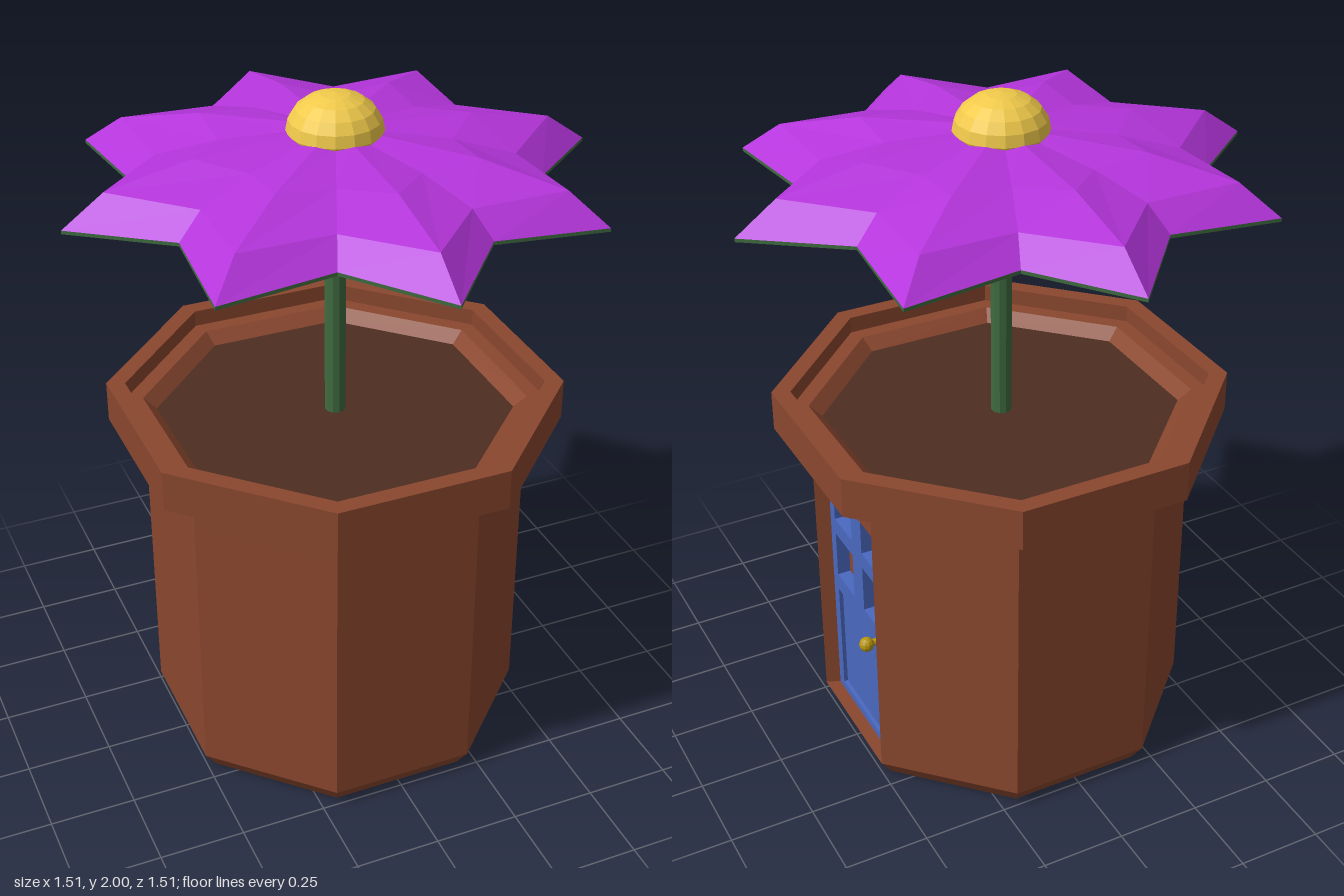
import * as THREE from 'three';

const HALF = Math.PI / 8; // half the angle of one octagon side

const paint = (color) => new THREE.MeshStandardMaterial({ color, flatShading: true });
const clay = paint(0x8a472e);
const earth = paint(0x4d2d21);
const blue = paint(0x4a68c0);
const purple = paint(0xb535dc);
const green = paint(0x3f6b40);
const yellow = paint(0xf0c94a);
const brass = paint(0xb8960f);

// Skins a list of closed rings; skip(ring, side) leaves a quad out.
function skin(rings, skip = () => false) {
  const pos = [];
  for (let r = 0; r < rings.length - 1; r++) {
    const lo = rings[r], hi = rings[r + 1], n = lo.length;
    for (let i = 0; i < n; i++) {
      if (skip(r, i)) continue;
      const j = (i + 1) % n;
      for (const p of [lo[i], lo[j], hi[j], lo[i], hi[j], hi[i]]) pos.push(p.x, p.y, p.z);
    }
  }
  const geo = new THREE.BufferGeometry();
  geo.setAttribute('position', new THREE.Float32BufferAttribute(pos, 3));
  geo.computeVertexNormals();
  return geo;
}

const polar = (radius, angle, y) =>
  new THREE.Vector3(radius * Math.cos(angle), y, -radius * Math.sin(angle));

// Octagon corner from the distance of its flat sides; side 0 faces +x
const corner = (flat, i, y) => polar(flat / Math.cos(HALF), (2 * i - 1) * HALF, y);
const octagon = ([flat, y]) => Array.from({ length: 8 }, (_, i) => corner(flat, i, y));

function rect(ShapeType, x0, y0, x1, y1) {
  return new ShapeType().moveTo(x0, y0).lineTo(x1, y0).lineTo(x1, y1).lineTo(x0, y1).closePath();
}

function add(parent, name, geometry, material) {
  const mesh = new THREE.Mesh(geometry, material);
  mesh.name = name;
  parent.add(mesh);
  return mesh;
}

function addPot(root) {
  const pot = new THREE.Group();
  pot.name = 'pot';
  root.add(pot);
  const bottom = 0.055, top = 0.88;

  // Walls and rim, with the doorway left open in side 0
  const profile = [
    [0, 0], [0.475, 0], [0.51, bottom], [0.51, top], [0.51, 1],
    [0.605, 1], [0.605, 1.12], [0.555, 1.12], [0.555, 1.07], [0.51, 1.07], [0.475, 1.035],
  ];
  add(pot, 'potWall', skin(profile.map(octagon), (r, i) => r === 2 && i === 0), clay);
  add(pot, 'soil', skin([[0.475, 1.035], [0, 1.035]].map(octagon)), earth);

  // Recess that narrows towards the middle of the pot
  const frame = (flat) => [
    corner(flat, 0, bottom), corner(flat, 1, bottom), corner(flat, 1, top), corner(flat, 0, top),
  ];
  const centre = new THREE.Vector3(0.43, (bottom + top) / 2, 0);
  add(pot, 'doorRecess', skin([frame(0.51), frame(0.43), Array(4).fill(centre)]), clay);
}

function addDoor(root) {
  const door = new THREE.Group();
  door.name = 'door';
  door.position.x = 0.43;
  door.rotation.y = Math.PI / 2; // drawn facing +z, turned to +x
  root.add(door);

  // Leaf with four windows and a sunken lower panel
  const leaf = rect(THREE.Shape, -0.193, 0.055, 0.193, 0.88);
  for (const x of [-0.16, 0.035])
    for (const y of [0.495, 0.697])
      leaf.holes.push(rect(THREE.Path, x, y, x + 0.125, y + 0.15));
  leaf.holes.push(rect(THREE.Path, -0.16, 0.08, 0.16, 0.44));
  add(door, 'doorLeaf', new THREE.ExtrudeGeometry(leaf, { depth: 0.04, bevelEnabled: false }), blue);
  add(door, 'lowerPanel', new THREE.BoxGeometry(0.32, 0.36, 0.028), blue).position.set(0, 0.26, 0.014);

  // Knob on a short neck
  const neck = add(door, 'knobNeck', new THREE.CylinderGeometry(0.01, 0.01, 0.05, 8), brass);
  neck.rotation.x = Math.PI / 2;
  neck.position.set(0.155, 0.468, 0.06);
  add(door, 'doorKnob', new THREE.SphereGeometry(0.022, 10, 8), brass).position.set(0.155, 0.468, 0.086);
}

function addFlower(root) {
  const flower = new THREE.Group();
  flower.name = 'flower';
  root.add(flower);

  add(flower, 'stem', new THREE.CylinderGeometry(0.03, 0.03, 0.85, 10), green).position.y = 1.455;

  // Each ring alternates petal ridge and valley: [ridge r, ridge y, valley r, valley y]
  const rows = [
    [0.757, 1.745, 0.555, 1.76],
    [0.64, 1.83, 0.48, 1.825],
    [0.4, 1.88, 0.31, 1.868],
    [0.1, 1.9, 0.1, 1.893],
  ];
  const star = ([rr, ry, vr, vy], drop = 0) => Array.from({ length: 16 }, (_, i) =>
    i % 2 ? polar(vr, i * HALF, vy - drop) : polar(rr, i * HALF, ry - drop));
  add(flower, 'petals', skin(rows.map((row) => star(row))), purple);
  const under = rows.map((row) => star(row, 0.01)).reverse();
  add(flower, 'petalUnderside', skin([...under, star(rows[0])]), green);

  // Domed flower head, flatter underneath
  const points = [];
  for (let i = 0; i <= 10; i++) {
    const a = -Math.PI / 2 + (i * Math.PI) / 10;
    points.push(new THREE.Vector2(0.132 * Math.cos(a), Math.sin(a) * (a > 0 ? 0.105 : 0.05)));
  }
  add(flower, 'flowerHead', new THREE.LatheGeometry(points, 16), yellow).position.y = 1.895;
}

export function createModel() {
  const model = new THREE.Group();
  model.name = 'flowerPotHouse';
  addPot(model);
  addDoor(model);
  addFlower(model);
  return model;
}
